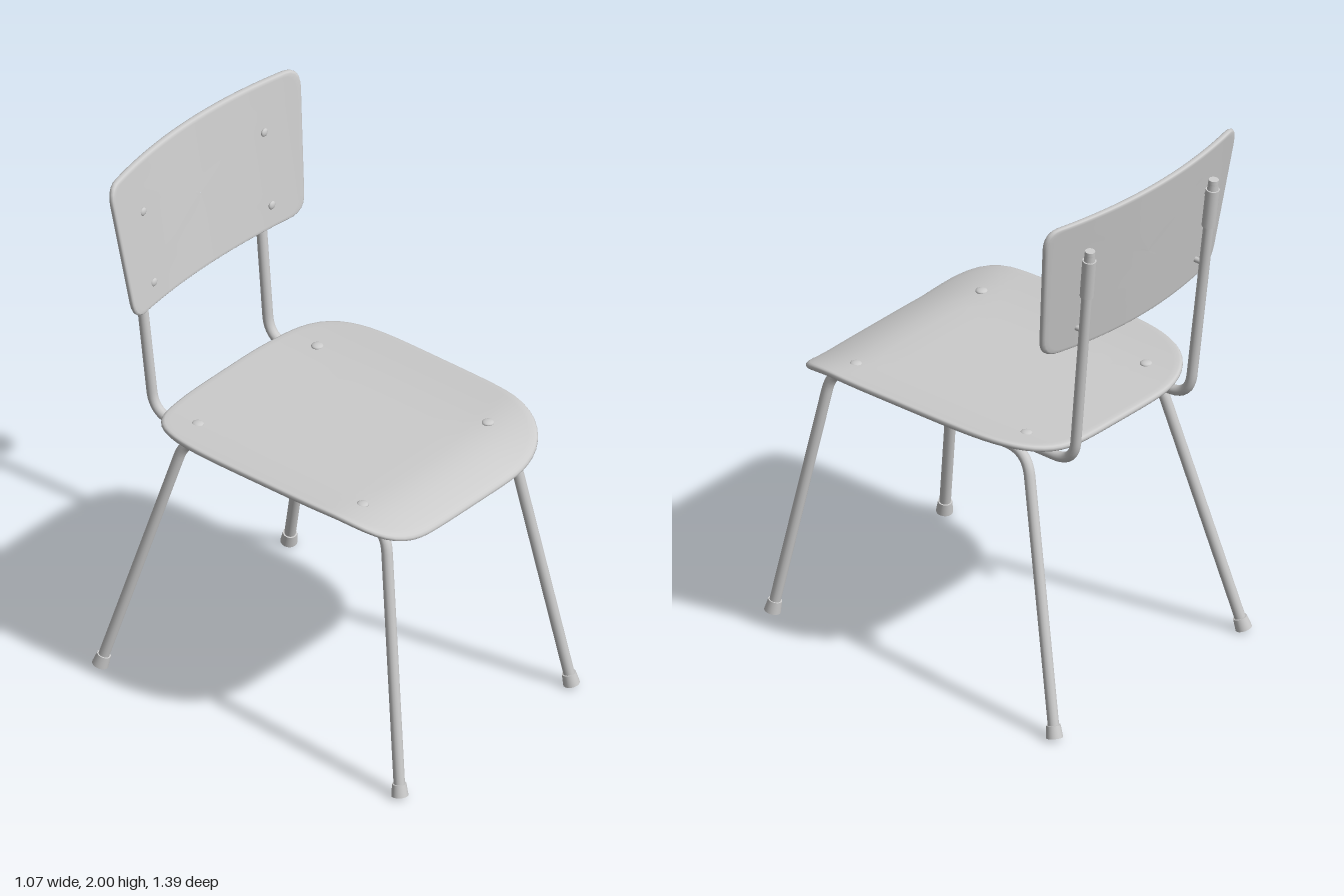
import * as THREE from 'three';

const grey = new THREE.MeshStandardMaterial({ color: 0xcccccc });
const V = (x, y, z) => new THREE.Vector3(x, y, z);

function add(group, name, geometry) {
  const mesh = new THREE.Mesh(geometry, grey);
  mesh.name = name;
  group.add(mesh);
  return mesh;
}

// Bent panel: an outline scaled inward in rings on both faces, with a rounded rim
function panel(outline, thickness, place) {
  const t = thickness / 2;
  const face = [0.001, 0.15, 0.3, 0.45, 0.6, 0.7, 0.78, 0.85, 0.91, 0.95, 0.98];
  const rim = [[0.993, 0.75], [1, 0.3], [1, -0.3], [0.993, -0.75]];
  const rings = [
    ...face.map(s => [s, 1]), ...rim, ...[...face].reverse().map(s => [s, -1]),
  ];
  const n = outline.length, positions = [], index = [];
  rings.forEach(([s, h], k) => outline.forEach((p, i) => {
    positions.push(...place(p.x * s, p.y * s, h * t).toArray());
    if (k === rings.length - 1) return;
    const j = (i + 1) % n, a = k * n + i, b = k * n + j;
    index.push(a, a + n, b + n, a, b + n, b);
  }));
  const geometry = new THREE.BufferGeometry();
  geometry.setAttribute('position', new THREE.Float32BufferAttribute(positions, 3));
  geometry.setIndex(index);
  geometry.computeVertexNormals();
  return geometry;
}

// Tube along straight runs joined by rounded bends
function bentTube(points, bend, radius, segments) {
  const path = new THREE.CurvePath();
  let from = points[0];
  for (let i = 1; i < points.length - 1; i++) {
    const p = points[i];
    const toward = q => p.clone().add(q.clone().sub(p).setLength(bend));
    const start = toward(points[i - 1]), end = toward(points[i + 1]);
    path.add(new THREE.LineCurve3(from, start));
    path.add(new THREE.QuadraticBezierCurve3(start, p, end));
    from = end;
  }
  path.add(new THREE.LineCurve3(from, points[points.length - 1]));
  return new THREE.TubeGeometry(path, segments, radius, 14);
}

// Capped cylinder between two points
function rod(group, name, a, b, ra, rb) {
  const mesh = add(group, name, new THREE.CylinderGeometry(rb, ra, a.distanceTo(b), 18));
  mesh.position.copy(a).lerp(b, 0.5);
  mesh.quaternion.setFromUnitVectors(V(0, 1, 0), b.clone().sub(a).normalize());
  return mesh;
}

// Seat height: raised sides and a rolled-down front edge
function seatHeight(x, z) {
  const side = Math.max(0, (Math.abs(x) - 0.24) / 0.26);
  const front = Math.max(0, (z - 0.36) / 0.25);
  return 1.016 + 0.05 * side ** 1.6 - 0.058 * front ** 2;
}

// Backrest depth: leaning backward, hollow toward the sitter
function backDepth(x, y) {
  return -0.68 + 0.155 * (2 - y) + 0.26 * x * x;
}

export function createModel() {
  const chair = new THREE.Group();
  chair.name = 'chair';

  // Seat
  const seatOutline = [];
  for (let i = 0; i < 112; i++) {
    const a = (i / 112) * Math.PI * 2, c = Math.cos(a), s = Math.sin(a);
    const n = s < 0 ? 5 : 4.2;
    const r = (Math.abs(c) ** n + Math.abs(s) ** n) ** (-1 / n);
    seatOutline.push(new THREE.Vector2(0.497 * r * c, 0.572 * r * s));
  }
  add(chair, 'seat', panel(seatOutline, 0.026, (x, v, h) => {
    const z = 0.04 - v;
    return V(x, seatHeight(x, z) + h, z);
  }));

  // Backrest
  const midY = 1.725;
  const shape = new THREE.Shape();
  shape.moveTo(-0.39, -0.272);
  shape.quadraticCurveTo(0, -0.292, 0.39, -0.272);
  shape.quadraticCurveTo(0.453, -0.268, 0.46, -0.205);
  shape.lineTo(0.504, 0.205);
  shape.quadraticCurveTo(0.508, 0.275, 0.45, 0.275);
  shape.lineTo(-0.45, 0.275);
  shape.quadraticCurveTo(-0.508, 0.275, -0.504, 0.205);
  shape.lineTo(-0.46, -0.205);
  shape.quadraticCurveTo(-0.453, -0.268, -0.39, -0.272);
  const backOutline = shape.getSpacedPoints(140).slice(0, -1);
  add(chair, 'backrest', panel(backOutline, 0.024, (x, v, h) =>
    V(x, midY + v, backDepth(x, midY + v) + h)));

  // Back supports: one tube running down, under the seat and across the front
  const top = V(0.33, 1.86, -0.665);
  const low = V(0.308, 0.985, -0.575);
  const half = [top, low, V(0.295, 0.985, 0.47)];
  const mirrored = half.map(p => V(-p.x, p.y, p.z)).reverse();
  add(chair, 'backSupportFrame', bentTube([...half, ...mirrored], 0.09, 0.019, 260));

  for (const side of [1, -1]) {
    const at = (x, y, z) => V(side * x, y, z);
    const name = side > 0 ? 'left' : 'right';

    // Front and rear leg bent from one tube
    const legs = [
      at(0.458, 0.02, 0.667), at(0.336, 0.985, 0.5),
      at(0.348, 0.985, -0.395), at(0.503, 0.02, -0.65),
    ];
    add(chair, name + 'Legs', bentTube(legs, 0.09, 0.02, 150));

    // Foot caps
    [[0, 1, 'FrontFoot'], [3, 2, 'RearFoot']].forEach(([f, k, part]) => {
      const dir = legs[k].clone().sub(legs[f]).normalize();
      const base = legs[f].clone().addScaledVector(dir, -0.014);
      rod(chair, name + part, base, base.clone().addScaledVector(dir, 0.045), 0.03, 0.025);
    });

    // Sleeve and end cap on the back support
    const upper = at(top.x, top.y, top.z), lower = at(low.x, low.y, low.z);
    rod(chair, name + 'Sleeve', upper.clone().lerp(lower, 0.2), upper.clone().lerp(lower, 0.03), 0.025, 0.025);
    rod(chair, name + 'SleeveCap', upper.clone().lerp(lower, 0.03), upper.clone().lerp(lower, -0.015), 0.02, 0.018);

    // Seat rivets
    for (const [x, z] of [[0.32, -0.367], [0.336, 0.395]]) {
      const rivet = add(chair, 'seatRivet', new THREE.SphereGeometry(0.022, 18, 10));
      rivet.scale.y = 0.4;
      rivet.position.copy(at(x, seatHeight(x, z) + 0.012, z));
    }

    // Backrest rivets and the pins that reach the support
    for (const [x, y] of [[0.325, 1.815], [0.316, 1.535]]) {
      const z = backDepth(x, y);
      const rivet = add(chair, 'backRivet', new THREE.SphereGeometry(0.016, 16, 10));
      rivet.scale.z = 0.5;
      rivet.position.copy(at(x, y, z + 0.012));
      rod(chair, 'backPin', at(x, y, z), at(x, y, z - 0.04), 0.01, 0.01);
    }
  }
  return chair;
}
